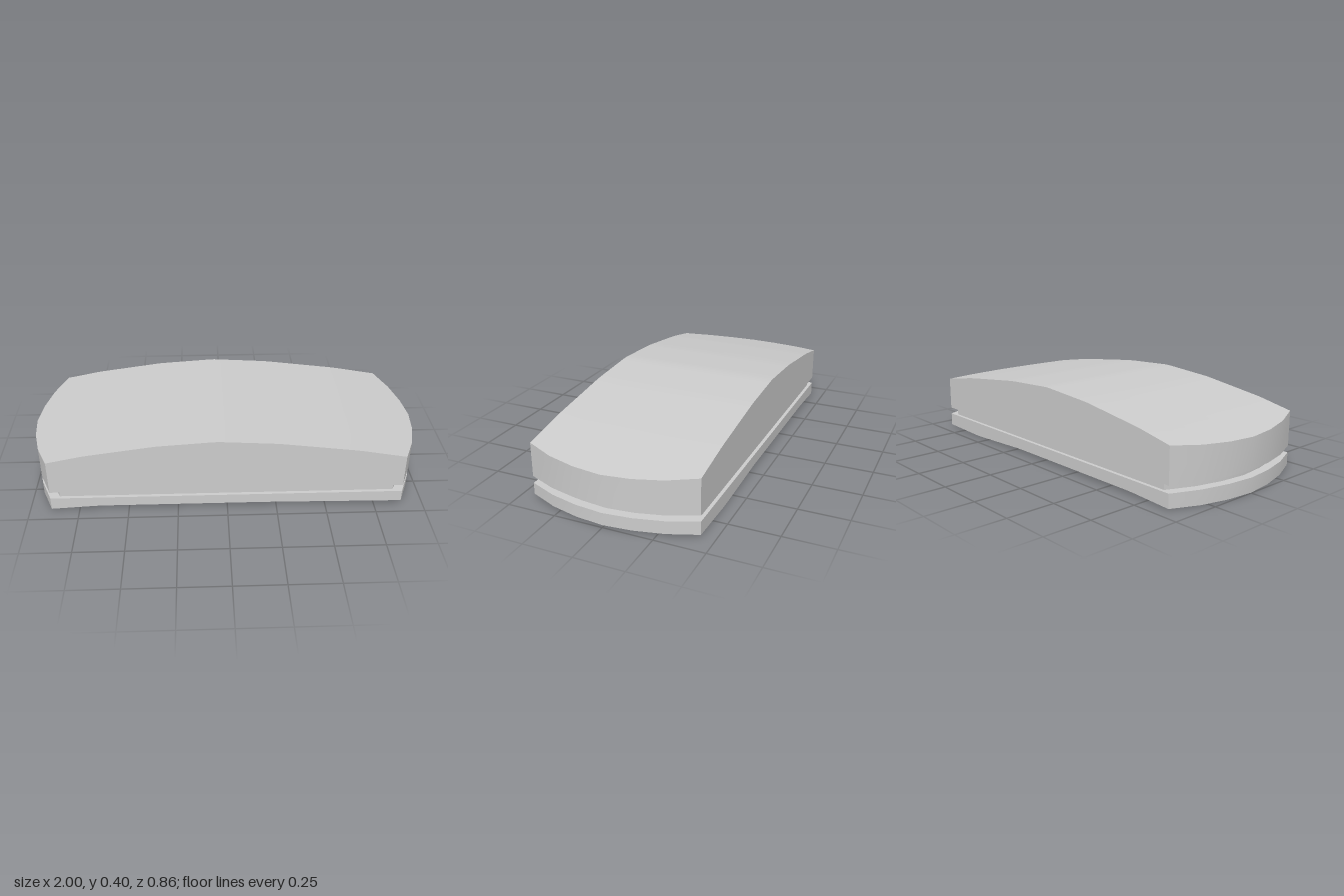
import * as THREE from 'three';

const HALF_WIDTH = 0.43;
// half length at equal steps from the centre line to the long edge
const END = [1, 0.985, 0.95, 0.89];

// linear interpolation through [x, y] points
function curve(points) {
  return (x) => {
    for (let i = 1; i < points.length; i++) {
      const [x0, y0] = points[i - 1], [x1, y1] = points[i];
      if (x <= x1) return THREE.MathUtils.lerp(y0, y1, Math.max(0, (x - x0) / (x1 - x0)));
    }
    return points[points.length - 1][1];
  };
}

const roof = curve([[-1, 0.27], [-0.7, 0.33], [-0.35, 0.378], [-0.05, 0.398], [0.25, 0.38], [0.65, 0.33], [1, 0.267]]);
const lidRise = curve([[-0.9, 0], [-0.6, 0.013], [-0.3, 0.032], [0.89, 0]]);
const soleFront = curve([[-1, 0.005], [-0.65, 0.025], [0.2, 0.025], [1, 0.015]]);
const soleBack = curve([[-1, 0], [-0.65, 0.018], [0.2, 0.018], [0.6, 0], [1, 0.012]]);

// slab with bowed ends; bottom and top are height rules of x and t (0 back, 1 front)
function slab(name, insetX, insetZ, bottom, top) {
  const geometry = new THREE.BoxGeometry(2, 2, 2, 40, 1, 6);
  const p = geometry.attributes.position;
  for (let i = 0; i < p.count; i++) {
    const v = p.getZ(i);
    const x = p.getX(i) * (END[Math.round(Math.abs(v) * 3)] - insetX);
    const height = p.getY(i) > 0 ? top : bottom;
    p.setXYZ(i, x, height(x, (v + 1) / 2), v * (HALF_WIDTH - insetZ));
  }
  geometry.computeVertexNormals();
  const mesh = new THREE.Mesh(geometry, new THREE.MeshStandardMaterial({ color: 0xcccccc }));
  mesh.name = name;
  return mesh;
}

export function createModel() {
  const model = new THREE.Group();
  model.name = 'domedBlock';
  model.add(
    // thin base with a slightly hollow underside
    slab('basePlate', 0, 0, (x, t) => THREE.MathUtils.lerp(soleBack(x), soleFront(x), t), () => 0.076),
    // recessed groove between base and lid
    slab('recessedNeck', 0.045, 0.018, () => 0.07, () => 0.16),
    // arched lid
    slab('archedLid', 0, 0, (x, t) => 0.112 + lidRise(x) * t, (x) => roof(x)),
  );
  return model;
}
